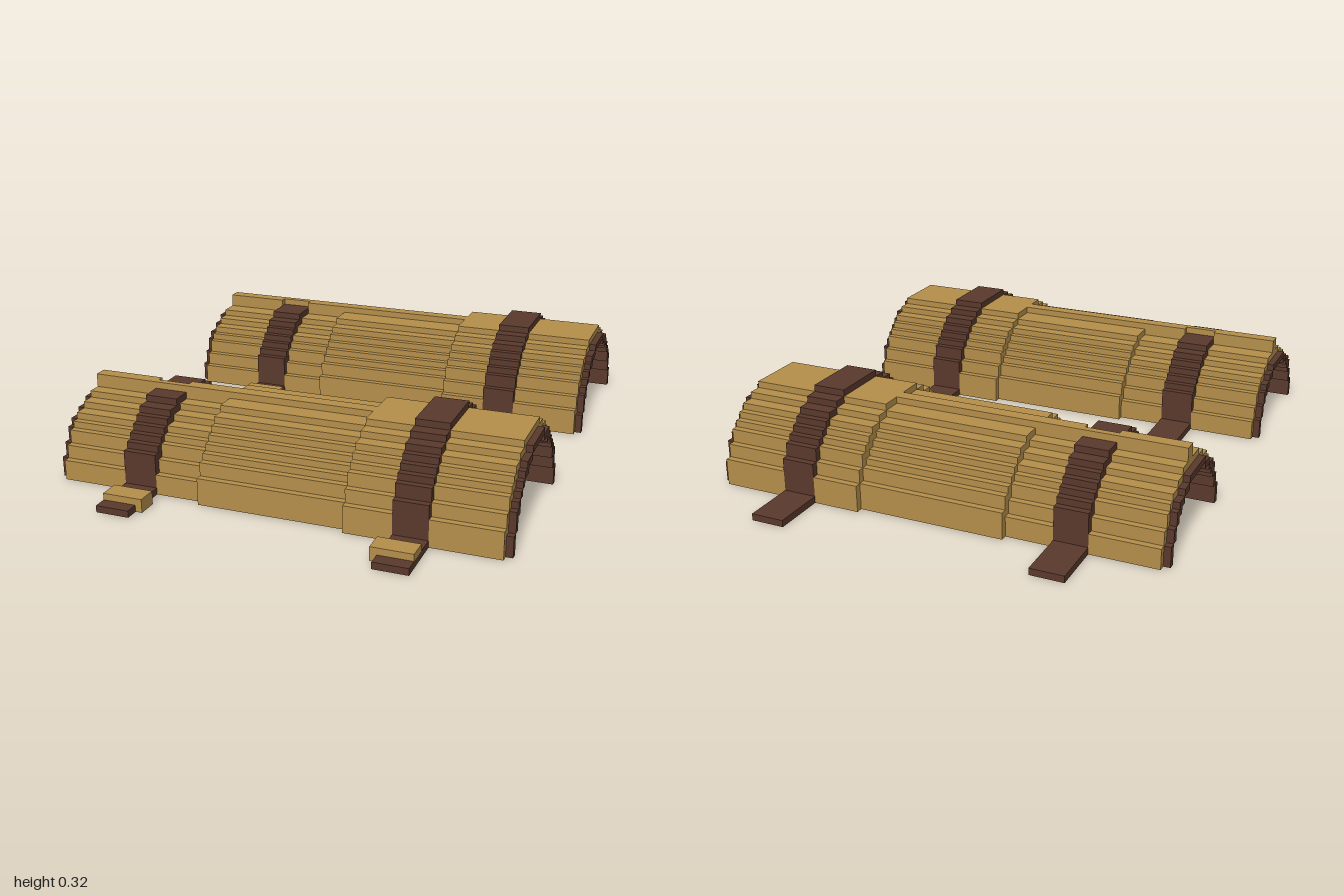
import * as THREE from 'three';
import { mergeGeometries } from 'three/addons/utils/BufferGeometryUtils.js';

const U = 1 / 44; // one block of the stepped grid
const MID = 22.5; // distance of each guard's axis from the centre, in blocks

// Box from block coordinates
function block(x0, x1, y0, y1, z0, z1) {
  const g = new THREE.BoxGeometry((x1 - x0) * U, (y1 - y0) * U, (z1 - z0) * U);
  g.translate((x0 + x1) / 2 * U, (y0 + y1) / 2 * U, (z0 + z1) / 2 * U);
  return g;
}

// Half width of a stepped arch at one row, or 0 above its top
function halfWidth(r, row, limit = 99) {
  const d = r * r - (row + 1) ** 2;
  return d < 0 ? 0 : Math.min(limit, Math.floor(Math.sqrt(d)) + 0.5);
}

// Stepped half-round shell between two radii, running along x
function arch(x0, x1, outer, inner, limit) {
  const parts = [];
  for (let row = 0; row < 16; row++) {
    const a = halfWidth(outer, row, limit), b = halfWidth(inner, row);
    if (a <= b) continue;
    if (b === 0) parts.push(block(x0, x1, row, row + 1, -a, a));
    else {
      parts.push(block(x0, x1, row, row + 1, -a, -b));
      parts.push(block(x0, x1, row, row + 1, b, a));
    }
  }
  return parts;
}

export function createModel() {
  const tan = new THREE.MeshStandardMaterial({ color: 0xb58f4a });
  tan.name = 'tan leather';
  const brown = new THREE.MeshStandardMaterial({ color: 0x5a392c });
  brown.name = 'dark brown leather';

  const model = new THREE.Group();
  model.name = 'armGuards';

  for (const side of [1, -1]) {
    const guard = new THREE.Group();
    guard.name = side > 0 ? 'frontGuard' : 'backGuard';
    guard.position.z = side * MID * U;
    const add = (name, parts, material) => {
      const mesh = new THREE.Mesh(mergeGeometries(parts), material);
      mesh.name = name;
      guard.add(mesh);
    };
    // Box whose z runs outward from the centre of the model
    const outward = (x0, x1, y0, y1, a, b) => side > 0
      ? block(x0, x1, y0, y1, a - MID, b - MID)
      : block(x0, x1, y0, y1, MID - b, MID - a);

    const R = [11.66, 12.66, 13.62]; // narrow, middle and wide sections

    // Outer plates, interrupted where the straps lie
    add('narrowPlate', [...arch(-33, -23, R[0], R[0] - 1), ...arch(-18, -11, R[0], R[0] - 1)], tan);
    add('middlePlate', arch(-11, 11, R[1], R[1] - 1), tan);
    add('widePlate', [...arch(11, 18, R[2], R[2] - 1), ...arch(23, 33, R[2], R[2] - 1)], tan);

    // Lining, showing past both ends
    add('lining', [
      ...arch(-34, -11, R[0] - 1, R[0] - 2),
      ...arch(-11, 11, R[1] - 1, R[1] - 2),
      ...arch(11, 34, R[2] - 1, R[2] - 2),
    ], brown);

    // Raised ridge along the top
    add('ridge', [
      outward(-33, -23, 11, 13, 22, 24),
      outward(-23, -18, 11, 13, 23, 24),
      outward(-18, -11, 11, 13, 22, 24),
      outward(-11, 11, 12, 13, 22, 24),
    ], tan);

    // Straps with flat ends on the ground
    add('narrowStrap', [
      ...arch(-23, -18, R[0] + 1, R[0] - 1, 11.5),
      outward(-23, -18, 0, 1, 3, 11),
      outward(-23, -18, 0, 1, 34, 42),
    ], brown);
    add('wideStrap', [
      ...arch(18, 23, R[2] + 1, R[2] - 1, 13.5),
      outward(18, 23, 0, 1, 2, 9),
      outward(18, 23, 0, 1, 36, 44),
    ], brown);

    // Strap keepers, each with a lip folded down one side
    add('narrowKeeper', [block(-23, -17, 1, 2, 14.5, 17.5), block(-18, -17, 0, 1, 14.5, 17.5)], tan);
    add('wideKeeper', [block(17, 23, 1, 2, 16.5, 19.5), block(17, 18, 0, 1, 16.5, 19.5)], tan);

    model.add(guard);
  }
  return model;
}
